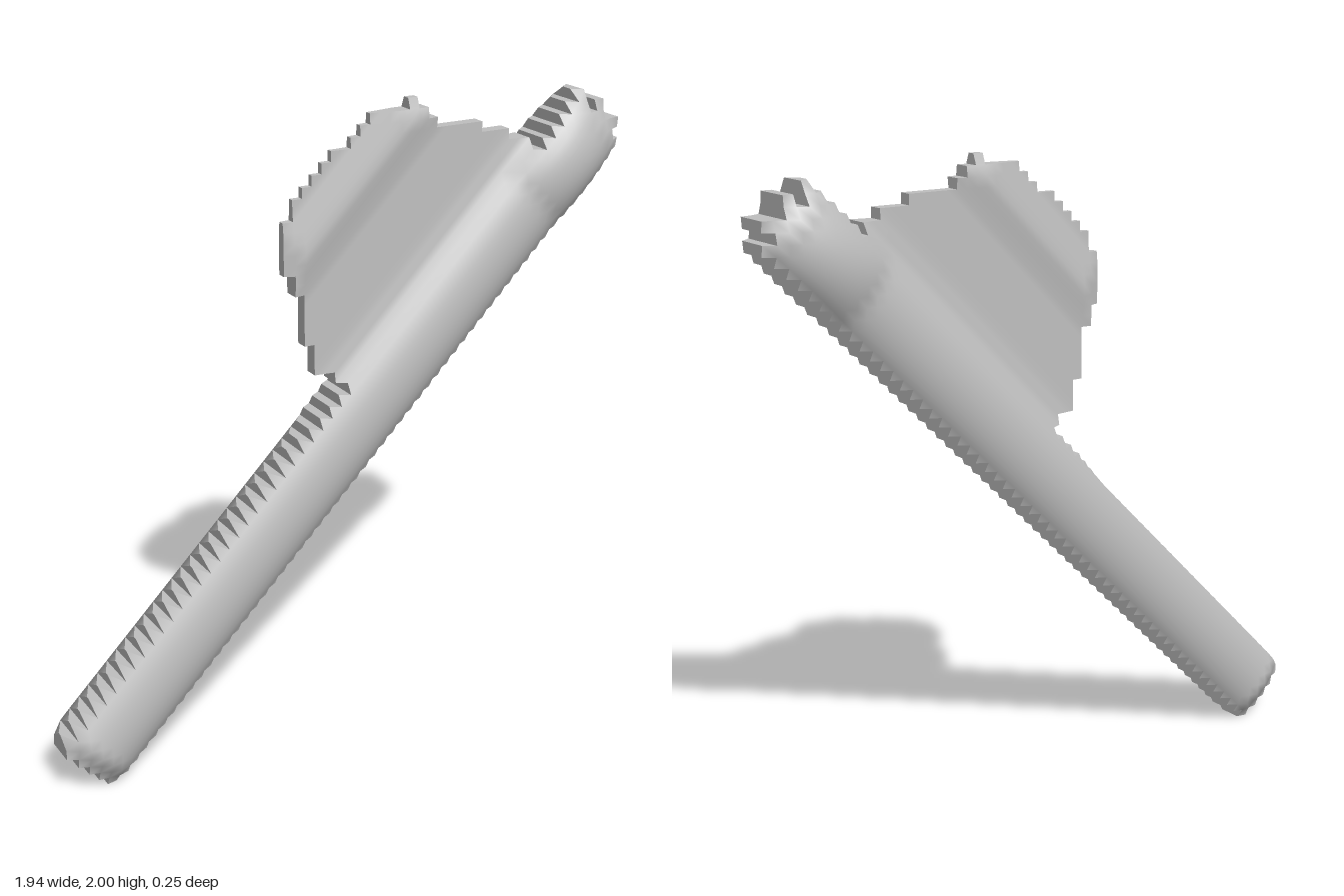
import * as THREE from 'three';

const C = 2 / 62, COLS = 60, ROWS = 62, X0 = -30 * C; // square cells give the stepped outline
const smooth = THREE.MathUtils.smoothstep;

// Blade outline (x, y)
const OUTLINE = [
  [0.02, 1.1], [-0.02, 1.17], [-0.09, 1.19], [-0.09, 1.28], [-0.12, 1.3], [-0.125, 1.42], [-0.16, 1.45],
  [-0.165, 1.51], [-0.2, 1.53], [-0.2, 1.645], [-0.16, 1.71], [-0.06, 1.82], [0.02, 1.89], [0.12, 1.97],
  [0.21, 1.97], [0.21, 2.01], [0.26, 2.01], [0.26, 1.97], [0.3, 1.935], [0.36, 1.905], [0.5, 1.9],
  [0.5, 1.87], [0.58, 1.865], [0.58, 1.83], [0.65, 1.825], [0.68, 1.78]
];
// Blade half thickness against distance from the handle
const PROFILE = [[1.16, 0.055], [1.2, 0.034], [1.28, 0.023], [1.4, 0.021], [1.57, 0.02],
  [1.64, 0.029], [1.69, 0.037], [1.73, 0.034], [1.86, 0.01]];

function inOutline(x, y) {
  let inside = false;
  OUTLINE.forEach(([ax, ay], k) => {
    const [bx, by] = OUTLINE[(k + 1) % OUTLINE.length];
    if ((ay > y) !== (by > y) && x < ax + (bx - ax) * (y - ay) / (by - ay)) inside = !inside;
  });
  return inside;
}

// Which part owns a cell, or null for empty space
function partAt(i, j) {
  const across = j - i, along = i + j;
  if (i < 0 || j < 0 || i >= COLS || j >= ROWS) return null;
  if (across >= -4 && across <= 5) {
    if (along < 4) return null;
    if (along > 115) return along === 116 && Math.abs(across) === 2 ? 'handleTip' : null;
    if (along === 115 && Math.abs(across) === 3) return null;
    return along > 111 ? 'handleTip' : along > 99 ? 'collar' : 'handle';
  }
  return across > 5 && inOutline(X0 + (i + 0.5) * C, (j + 0.5) * C) ? 'blade' : null;
}

// Half thickness of the whole axe at a point
function half(x, y) {
  const d = y - x, s = x + y;
  let h;
  if (d <= 1.16) {
    const t = Math.min(1, Math.abs(d - 0.984) / 0.177);
    h = 0.105 * Math.sqrt(1 - 0.726 * t * t);
  } else {
    let k = 1;
    while (k < PROFILE.length - 1 && PROFILE[k][0] < d) k++;
    const [a, b] = [PROFILE[k - 1], PROFILE[k]];
    h = THREE.MathUtils.lerp(a[1], b[1], THREE.MathUtils.clamp((d - a[0]) / (b[0] - a[0]), 0, 1));
    h = Math.min(h, 0.004 + 0.4 * (2.02 - y), 0.004 + 0.4 * (x + 0.22));
  }
  if (d < 1.25) {
    const bump = Math.max(0, 1 - ((s - 2.5) / 0.2) ** 2);  // collar swelling
    h *= 1 + 0.21 * bump * (1 - smooth(d, 1.12, 1.25));
    const end = Math.min(s + 0.84, 2.82 - s);              // rounded ends
    h *= 0.6 + 0.4 * smooth(end, 0, 0.11);
  }
  return Math.max(h, 0.006);
}

function buildPart(name, material) {
  const pos = [], nor = [];
  const put = (x, y, z, n) => { pos.push(x, y, z); nor.push(...n); };
  const e = 0.02;
  const face = (corners, side) => {
    const order = side > 0 ? [0, 1, 2, 0, 2, 3] : [0, 2, 1, 0, 3, 2];
    for (const k of order) {
      const [x, y] = corners[k];
      const n = new THREE.Vector3((half(x - e, y) - half(x + e, y)) / (2 * e),
        (half(x, y - e) - half(x, y + e)) / (2 * e), side).normalize();
      put(x, y, side * half(x, y), n.toArray());
    }
  };
  const wall = (a, b, n) => {
    const ha = half(...a), hb = half(...b);
    const q = [[...a, ha], [...a, -ha], [...b, -hb], [...b, hb]];
    for (const k of [0, 1, 2, 0, 2, 3]) put(...q[k], n);
  };
  for (let i = 0; i < COLS; i++) for (let j = 0; j < ROWS; j++) {
    if (partAt(i, j) !== name) continue;
    const x = X0 + i * C, y = j * C;
    const c = [[x, y], [x + C, y], [x + C, y + C], [x, y + C]];
    face(c, 1);
    face(c, -1);
    // stepped rim where the neighbouring cell is empty
    [[0, -1], [1, 0], [0, 1], [-1, 0]].forEach(([dx, dy], k) => {
      if (!partAt(i + dx, j + dy)) wall(c[k], c[(k + 1) % 4], [dx, dy, 0]);
    });
  }
  const g = new THREE.BufferGeometry();
  g.setAttribute('position', new THREE.Float32BufferAttribute(pos, 3));
  g.setAttribute('normal', new THREE.Float32BufferAttribute(nor, 3));
  const mesh = new THREE.Mesh(g, material);
  mesh.name = name;
  return mesh;
}

export function createModel() {
  const group = new THREE.Group();
  group.name = 'axe';
  const grey = new THREE.MeshStandardMaterial({ color: 0xc0c0c0 });
  grey.name = 'plain grey';
  grey.side = THREE.DoubleSide;
  for (const name of ['handle', 'collar', 'handleTip', 'blade']) group.add(buildPart(name, grey));
  return group;
}
